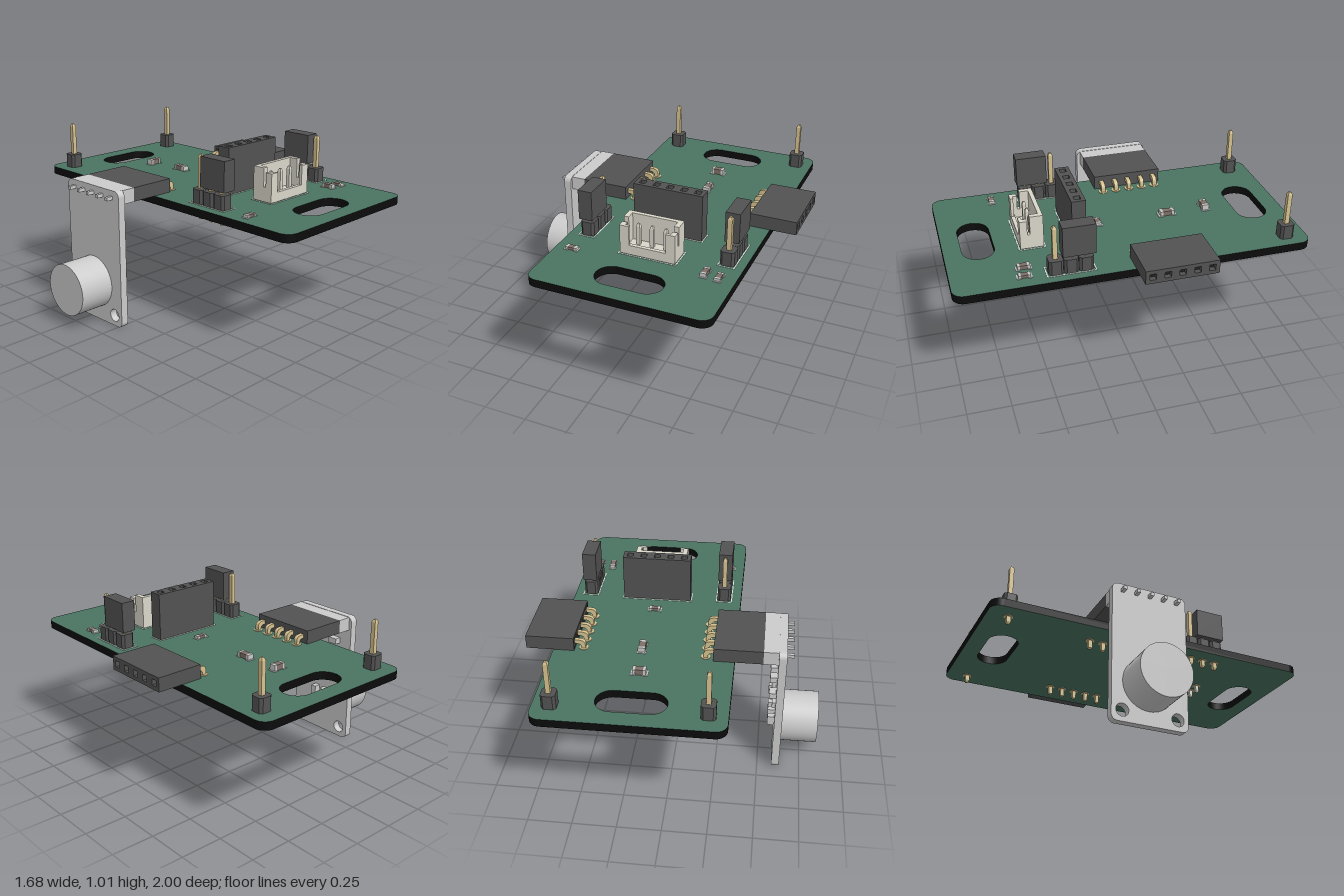
import * as THREE from 'three';

const mat = (color) => new THREE.MeshStandardMaterial({ color });
const GREY = mat(0xcccccc), GREEN = mat(0x4a7361), EDGE = mat(0x0c0c0c), DARK = mat(0x525252),
  SOCKET = mat(0x222222), GOLD = mat(0xd6c290), CREAM = mat(0xdad7ca), BROWN = mat(0x7d7068), WHITE = mat(0xdde4de);

const BOARD_Y = 0.685, TOP = 0.732, PITCH = 0.082, ROW = [-2, -1, 0, 1, 2].map((i) => i * PITCH);

export function createModel() {
  const model = new THREE.Group();

  const add = (name, geo, material, x = 0, y = 0, z = 0, parent = model) => {
    const m = new THREE.Mesh(geo, material);
    m.name = name;
    m.position.set(x, y, z);
    parent.add(m);
    return m;
  };
  const group = (name) => {
    const g = new THREE.Group();
    g.name = name;
    model.add(g);
    return g;
  };
  // box given by its minimum and maximum corners
  const block = (name, material, [x0, x1], [y0, y1], [z0, z1], parent = model) =>
    add(name, new THREE.BoxGeometry(x1 - x0, y1 - y0, z1 - z0), material, (x0 + x1) / 2, (y0 + y1) / 2, (z0 + z1) / 2, parent);

  // rounded rectangle centred on (cx, cy), usable as outline or hole
  const roundRect = (w, h, r, cx = 0, cy = 0) => {
    const s = new THREE.Shape(), a = w / 2 - r, b = h / 2 - r;
    s.absarc(cx + a, cy + b, r, 0, Math.PI / 2);
    s.absarc(cx - a, cy + b, r, Math.PI / 2, Math.PI);
    s.absarc(cx - a, cy - b, r, Math.PI, Math.PI * 1.5);
    s.absarc(cx + a, cy - b, r, Math.PI * 1.5, Math.PI * 2);
    return s;
  };
  const rect = (w, h, cx = 0, cy = 0) => new THREE.Shape([[-1, -1], [1, -1], [1, 1], [-1, 1]]
    .map(([i, j]) => new THREE.Vector2(cx + i * w / 2, cy + j * h / 2)));
  const extrude = (shape, depth) => new THREE.ExtrudeGeometry(shape, { depth, bevelEnabled: false, curveSegments: 12 });
  const upward = (geo) => geo.rotateX(-Math.PI / 2);   // extrusion runs along +y
  const sideways = (geo) => geo.rotateY(Math.PI / 2);  // extrusion runs along +x

  // straight square pin with tapered ends
  const pin = (x, z, y0, y1, parent, material = GOLD, w = 0.026) => {
    const tip = 0.015, r = w / Math.SQRT2;
    const profile = [[0, y0], [r * 0.5, y0], [r, y0 + tip], [r, y1 - tip], [r * 0.5, y1], [0, y1]];
    const geo = new THREE.LatheGeometry(profile.map(([a, b]) => new THREE.Vector2(a, b)), 4).toNonIndexed();
    geo.rotateY(Math.PI / 4);
    geo.computeVertexNormals();
    add('pin', geo, material, x, 0, z, parent);
  };
  const pad = (x, z, parent) => {
    for (const y of [TOP, BOARD_Y - 0.003])
      add('solderPad', new THREE.CylinderGeometry(0.027, 0.027, 0.003, 16), GOLD, x, y + 0.0015, z, parent);
  };
  // thin printed frame on the board
  const printedFrame = (x, z, w, d) => {
    const s = rect(w, d);
    s.holes.push(rect(w - 0.012, d - 0.012));
    add('printedFrame', upward(extrude(s, 0.002)), WHITE, x, TOP, z);
  };
  // five-way socket strip, open on its extruded end
  const socketStrip = (parent, depth, orient, x, y, z) => {
    const s = rect(0.41, 0.08);
    for (const a of ROW) s.holes.push(rect(0.036, 0.036, a, 0));
    add('socketBody', orient(extrude(s, depth)), DARK, x, y, z, parent);
    add('socketInside', orient(extrude(rect(0.4, 0.07), depth - 0.03)), SOCKET, x, y, z, parent);
  };

  // circuit board with two mounting slots
  const outline = roundRect(1.028, 2, 0.065, 0.172, 0);
  for (const s of [-1, 1]) outline.holes.push(roundRect(0.386, 0.18, 0.0899, 0.172, s * 0.808));
  add('circuitBoard', upward(extrude(outline, TOP - BOARD_Y)), [GREEN, EDGE], 0, BOARD_Y, 0);

  // horizontal sockets on both long edges, with bent pins
  const bentPins = (parent, x, dir, zc) => {
    const t = 0.012, y = 0.775, s = new THREE.Shape();
    s.moveTo(-0.06, y - t);
    s.lineTo(-0.035, y - t);
    s.quadraticCurveTo(-t, y - t, -t, y - 0.035);
    s.lineTo(-t, 0.633);
    s.lineTo(t, 0.633);
    s.lineTo(t, y - 0.02);
    s.quadraticCurveTo(t, y + t, -0.025, y + t);
    s.lineTo(-0.06, y + t);
    for (const dz of ROW) {
      const geo = extrude(s, 2 * t).translate(0, 0, -t);
      if (dir < 0) geo.rotateY(Math.PI);
      add('bentPin', geo, GOLD, x, 0, zc + dz, parent);
      pad(x, zc + dz, parent);
    }
  };
  const rightEdge = group('leftEdgeSocket');
  socketStrip(rightEdge, 0.275, sideways, 0.565, 0.774, -0.178);
  bentPins(rightEdge, 0.517, -1, -0.178);
  const leftEdge = group('rightEdgeSocket');
  block('socketBody', DARK, [-0.5, -0.222], [0.734, 0.815], [-0.4, 0.012], leftEdge);
  bentPins(leftEdge, -0.178, 1, -0.194);

  // upright microphone module
  const mic = group('microphoneModule');
  const plate = roundRect(0.45, 0.817, 0.035, 0.194, 0.4085);
  for (const a of [0.032, 0.356]) plate.holes.push(new THREE.Path().absarc(a, 0.065, 0.037, 0, Math.PI * 2));
  add('modulePlate', sideways(extrude(plate, 0.045)), GREY, -0.63, 0, 0, mic);
  block('pinSpacer', GREY, [-0.585, -0.5], [0.734, 0.815], [-0.4, 0.012], mic);
  for (const dz of ROW)
    block('modulePin', GREY, [-0.67, -0.63], [0.765, 0.785], [-0.204 + dz, -0.184 + dz], mic);
  add('microphoneCapsule', new THREE.CylinderGeometry(0.153, 0.153, 0.21, 48).rotateZ(Math.PI / 2), GREY, -0.735, 0.234, -0.203, mic);
  // module chips: z, y, width, height, thickness
  for (const [z, y, w, h, t] of [
    [-0.16, 0.65, 0.06, 0.035, 0.04], [-0.305, 0.65, 0.06, 0.035, 0.04],
    [-0.16, 0.58, 0.06, 0.035, 0.04], [-0.305, 0.58, 0.06, 0.035, 0.04],
    [-0.172, 0.44, 0.096, 0.096, 0.025], [-0.305, 0.467, 0.06, 0.035, 0.04], [-0.305, 0.4, 0.06, 0.035, 0.02],
    [-0.03, 0.295, 0.035, 0.06, 0.04], [-0.163, 0.27, 0.035, 0.06, 0.04],
    [-0.234, 0.27, 0.035, 0.06, 0.04], [-0.3, 0.27, 0.035, 0.06, 0.04]])
    block('moduleChip', GREY, [-0.585, -0.585 + t], [y - h / 2, y + h / 2], [z - w / 2, z + w / 2], mic);

  // pin header blocks with chamfered corners
  const headerBlock = (x, z, parent) => {
    const c = 0.014, h = 0.04;
    const s = new THREE.Shape([[-h + c, -h], [h - c, -h], [h, -h + c], [h, h - c], [h - c, h], [-h + c, h], [-h, h - c], [-h, -h + c]]
      .map(([a, b]) => new THREE.Vector2(a, b)));
    add('headerBlock', upward(extrude(s, 0.083)), DARK, x, TOP, z, parent);
    pin(x, z, 0.635, 1.01, parent);
    pad(x, z, parent);
  };
  // jumper headers with caps, and a single support pin behind each
  for (const [x, capZ, side] of [[-0.238, 0.405, 'right'], [0.588, 0.321, 'left']]) {
    const jumper = group(side + 'JumperHeader');
    for (const i of [-1, 0, 1]) headerBlock(x, 0.364 + i * PITCH, jumper);
    block('jumperCap', DARK, [x - 0.041, x + 0.041], [0.835, 1.012], [capZ - 0.09, capZ + 0.09], jumper);
    printedFrame(x, 0.364, 0.098, 0.27);
    headerBlock(x, -0.876, group(side + 'SupportPin'));
  }

  // tall vertical socket
  const tall = group('tallSocket');
  socketStrip(tall, 0.278, upward, 0.172, 0.734, 0.26);
  for (const dx of ROW) {
    pin(0.172 + dx, 0.26, 0.635, 0.75, tall);
    pad(0.172 + dx, 0.26, tall);
  }
  printedFrame(0.172, 0.26, 0.425, 0.095);

  // cable connector: open shroud with three pins
  const cable = group('cableConnector');
  block('connectorFloor', CREAM, [0.012, 0.333], [0.735, 0.768], [0.45, 0.582], cable);
  block('backWall', CREAM, [0.012, 0.333], [0.735, 0.93], [0.45, 0.474], cable);
  block('frontLip', CREAM, [0.042, 0.303], [0.768, 0.79], [0.56, 0.582], cable);
  for (const s of [-1, 1]) {
    const cx = 0.1725 + s * 0.146;
    block('sideWall', CREAM, [cx - 0.0145, cx + 0.0145], [0.768, 0.93], [0.474, 0.525], cable);
    block('sideWallLow', CREAM, [cx - 0.0145, cx + 0.0145], [0.768, 0.82], [0.525, 0.54], cable);
    block('frontPost', CREAM, [cx - 0.0145, cx + 0.0145], [0.768, 0.905], [0.54, 0.582], cable);
    const inner = cx - s * 0.027;
    block('postReturn', CREAM, [inner - 0.0125, inner + 0.0125], [0.768, 0.905], [0.565, 0.582], cable);
  }
  for (const i of [-1, 0, 1]) {
    pin(0.1725 + i * 0.08, 0.51, 0.635, 0.895, cable, CREAM, 0.022);
    pad(0.1725 + i * 0.08, 0.51, cable);
  }
  printedFrame(0.1725, 0.516, 0.34, 0.15);

  // small surface parts: x, z, length, width, height, runs along z
  for (const [x, z, l, w, h, alongZ] of [
    [0.167, -0.553, 0.075, 0.042, 0.035, false], [0.185, -0.315, 0.085, 0.042, 0.03, true],
    [0.17, 0.1, 0.066, 0.035, 0.018, false], [-0.245, 0.65, 0.066, 0.035, 0.018, false],
    [0.513, 0.603, 0.07, 0.035, 0.025, true], [0.593, 0.613, 0.066, 0.035, 0.018, true]]) {
    const chip = group('surfacePart');
    add('chipBody', new THREE.BoxGeometry(l * 0.6, h - 0.002, w - 0.004), BROWN, 0, h / 2, 0, chip);
    for (const s of [-1, 1]) {
      add('chipEnd', new THREE.BoxGeometry(l * 0.2, h, w), GREY, s * l * 0.4, h / 2, 0, chip);
      add('chipPad', new THREE.BoxGeometry(l * 0.35, 0.003, w + 0.008), GREY, s * l * 0.45, 0.0015, 0, chip);
    }
    chip.position.set(x, TOP, z);
    if (alongZ) chip.rotation.y = Math.PI / 2;
  }

  return model;
}
